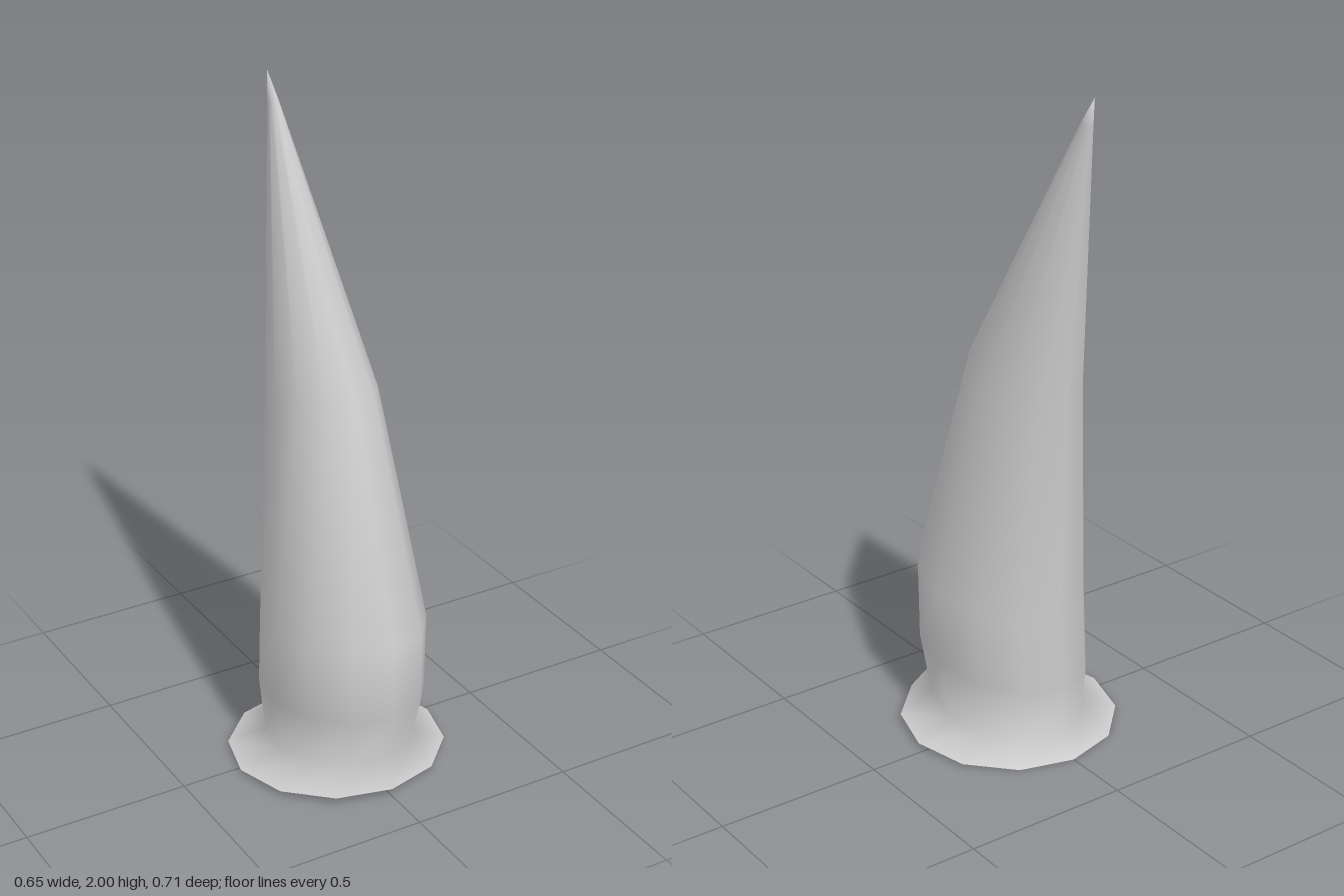
import * as THREE from 'three';

const SIDES = 12;

// Rings from base to tip: half width, half depth, centre z, height, forward tilt, bow (raises front and back)
const RINGS = [
  [0.325, 0.323, 0.027, 0.013, 0.012, 0],
  [0.205, 0.268, 0.043, 0.055, 0.030, 0.025],
  [0.226, 0.298, 0.057, 0.24, 0.030, 0],
  [0.226, 0.290, 0.065, 0.46, 0.043, 0],
  [0.150, 0.188, -0.056, 1.14, 0.040, 0],
  [0.015, 0.020, -0.321, 1.92, 0.004, 0],
];
const TIP = [0, 2, -0.352];

// Smooth skin over the rings, closed by a point and open at the base
function loftToPoint(rings, tip) {
  const positions = [];
  const index = [];
  for (const [rx, rz, cz, y, tilt, bow] of rings) {
    for (let i = 0; i < SIDES; i++) {
      const a = (i / SIDES) * Math.PI * 2;
      const c = Math.cos(a);
      positions.push(rx * Math.sin(a), y + tilt * c + bow * c * c, cz + rz * c);
    }
  }
  positions.push(...tip);

  const last = rings.length - 1;
  for (let r = 0; r <= last; r++) {
    for (let i = 0; i < SIDES; i++) {
      const a = r * SIDES + i;
      const b = r * SIDES + ((i + 1) % SIDES);
      if (r < last) index.push(a, b, b + SIDES, a, b + SIDES, a + SIDES);
      else index.push(a, b, rings.length * SIDES);
    }
  }

  const geometry = new THREE.BufferGeometry();
  geometry.setAttribute('position', new THREE.Float32BufferAttribute(positions, 3));
  geometry.setIndex(index);
  geometry.computeVertexNormals();
  return geometry;
}

export function createModel() {
  const group = new THREE.Group();
  group.name = 'horn';

  // Hollow curved spike with a flared rim at its foot
  const material = new THREE.MeshStandardMaterial({ color: 0xcccccc, side: THREE.DoubleSide });
  const spike = new THREE.Mesh(loftToPoint(RINGS, TIP), material);
  spike.name = 'curvedSpike';
  group.add(spike);

  return group;
}
